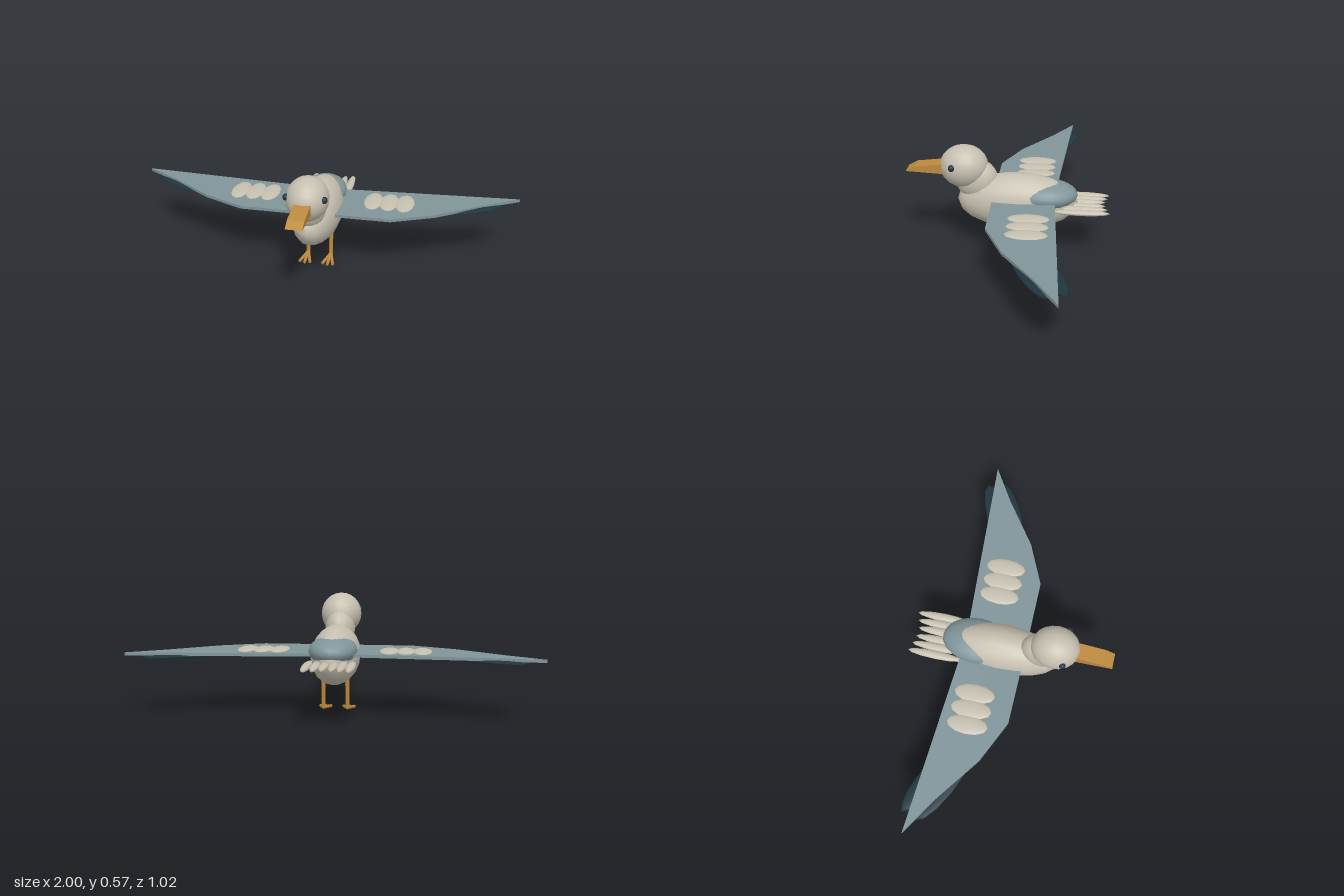
import * as THREE from 'three';

const mat = (name, color) => Object.assign(new THREE.MeshStandardMaterial({ color }), { name });

export function createModel() {
  const beige = mat('beige plumage', 0xc6c0b0);
  const grey = mat('blue grey plumage', 0x80959a);
  const dark = mat('dark slate', 0x21353d);
  const ochre = mat('ochre', 0xbd8a3e);

  const bird = new THREE.Group();
  bird.name = 'bird';

  const add = (name, geo, material, pos = [0, 0, 0]) => {
    const mesh = new THREE.Mesh(geo, material);
    mesh.name = name;
    mesh.position.set(...pos);
    bird.add(mesh);
    return mesh;
  };
  const ellipsoid = (name, material, pos, radii, w = 20, h = 12) => {
    const mesh = add(name, new THREE.SphereGeometry(1, w, h), material, pos);
    mesh.scale.set(...radii);
    return mesh;
  };
  // Round rod between two points
  const rod = (name, material, from, to, r0, r1) => {
    const a = new THREE.Vector3(...from), b = new THREE.Vector3(...to);
    const dir = b.clone().sub(a);
    const geo = new THREE.CylinderGeometry(r1, r0, dir.length(), 10);
    const mesh = add(name, geo, material, a.clone().add(b).multiplyScalar(0.5).toArray());
    mesh.quaternion.setFromUnitVectors(new THREE.Vector3(0, 1, 0), dir.normalize());
    return mesh;
  };
  const outline = (points) => new THREE.Shape(points.map((p) => new THREE.Vector2(...p)));

  // Body, neck and head
  ellipsoid('body', beige, [0, 0.289, -0.05], [0.122, 0.145, 0.302], 20, 10);
  ellipsoid('rumpPatch', grey, [0, 0.331, -0.18], [0.118, 0.07, 0.172], 20, 12);
  const neck = ellipsoid('neck', beige, [0, 0.395, 0.153], [0.077, 0.107, 0.107], 20, 12);
  neck.rotation.x = 0.6;
  ellipsoid('head', beige, [0, 0.467, 0.217], [0.105, 0.108, 0.122], 20, 12);

  // Flat-sided beak: side profile (z, y) extruded across x
  const beakGeo = new THREE.ExtrudeGeometry(
    outline([[0.28, 0.431], [0.505, 0.442], [0.458, 0.468], [0.335, 0.483], [0.28, 0.487]]),
    { depth: 0.08, bevelEnabled: false });
  beakGeo.rotateY(-Math.PI / 2);
  beakGeo.translate(0.04, 0, 0);
  add('beak', beakGeo, ochre);

  // Tail fan, longest at the outside
  for (const side of [1, -1]) {
    [0.022, 0.062, 0.103].forEach((x, i) => {
      ellipsoid('tailFeather', beige, [side * x, 0.283, -0.36 - i * 0.006],
        [0.022, 0.014, 0.132 + i * 0.005], 12, 8);
    });
  }

  for (const side of [1, -1]) {
    ellipsoid('eye', dark, [side * 0.091, 0.488, 0.267], [0.017, 0.017, 0.017], 12, 10);

    // Wing: thin plate drawn in (x, -z), laid flat
    const wing = outline([
      [0.04, -0.07], [0.38, -0.068], [0.59, 0.027], [0.82, 0.19], [1, 0.3], [0.04, 0.238],
    ].map(([x, y]) => [side * x, y]));
    const wingGeo = new THREE.ExtrudeGeometry(wing, { depth: 0.015, bevelEnabled: false });
    wingGeo.rotateX(-Math.PI / 2);
    add('wing', wingGeo, grey, [0, 0.307, 0]);

    // Pale covert feathers on top of the wing
    for (const x of [0.27, 0.35, 0.43]) {
      ellipsoid('covertFeather', beige, [side * x, 0.32, -0.125], [0.05, 0.013, 0.106], 12, 8);
    }

    // Dark flight feathers beneath the wing tip, swept backward
    for (const [x, z] of [[0.74, -0.165], [0.74, -0.205], [0.715, -0.24]]) {
      const feather = ellipsoid('tipFeather', dark, [side * x, 0.303, z], [0.21, 0.01, 0.052], 12, 8);
      feather.rotation.y = side * 0.44;
    }

    // Leg and three spread toes
    const x = side * 0.06;
    rod('leg', ochre, [x, 0.19, -0.086], [x, 0.025, -0.075], 0.011, 0.01);
    ellipsoid('ankle', ochre, [x, 0.026, -0.075], [0.011, 0.011, 0.011], 10, 8);
    for (const spread of [-0.027, 0, 0.027]) {
      rod('toe', ochre, [x, 0.024, -0.078], [x + spread, 0.011, 0.026 - Math.abs(spread) * 0.3],
        0.008, 0.008);
    }
  }
  return bird;
}
